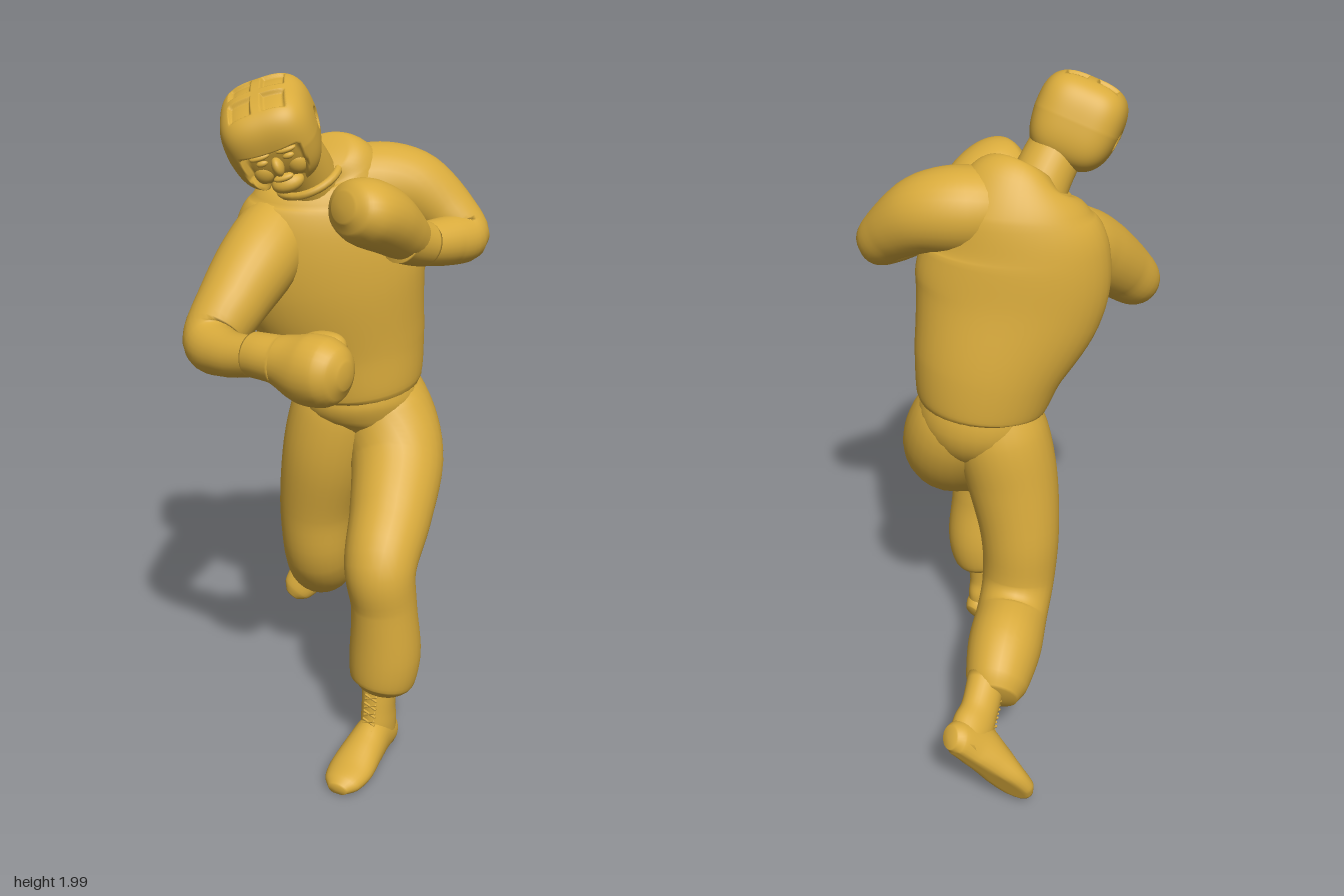
import * as THREE from 'three';

const gold = new THREE.MeshStandardMaterial({ color: 0xd9ab3c });
gold.name = 'gold';
const V = (x, y, z) => new THREE.Vector3(x, y, z);

// Smooth closed skin through sections [x, y, z, halfWidth, halfDepth]; side points along the width
function loft(name, sections, side = V(1, 0, 0), sides = 28, step = 6) {
  const path = new THREE.CatmullRomCurve3(sections.map(s => V(s[0], s[1], s[2])));
  const size = new THREE.CatmullRomCurve3(
    sections.map(s => V(s[3], s[4] ?? s[3], 0)), false, 'catmullrom', 0.5);
  const rings = (sections.length - 1) * step;
  const pos = [], idx = [];
  for (let i = 0; i <= rings; i++) {
    const p = path.getPoint(i / rings), r = size.getPoint(i / rings);
    const t = path.getTangent(i / rings);
    const u = side.clone().addScaledVector(t, -side.dot(t)).normalize();
    const v = t.clone().cross(u);
    for (let j = 0; j < sides; j++) {
      const a = j / sides * Math.PI * 2;
      const q = p.clone().addScaledVector(u, r.x * Math.cos(a)).addScaledVector(v, r.y * Math.sin(a));
      pos.push(q.x, q.y, q.z);
    }
  }
  for (let i = 0; i < rings; i++) for (let j = 0; j < sides; j++) {
    const k = (j + 1) % sides, a = i * sides + j, b = i * sides + k;
    idx.push(a, b, a + sides, b, b + sides, a + sides);
  }
  // End caps, slightly domed
  const n = (rings + 1) * sides;
  [[0, -1], [1, 1]].forEach(([t, dir]) => {
    const r = size.getPoint(t);
    const c = path.getPoint(t).addScaledVector(path.getTangent(t), dir * 0.2 * Math.min(r.x, r.y));
    pos.push(c.x, c.y, c.z);
  });
  for (let j = 0; j < sides; j++) {
    const k = (j + 1) % sides, e = rings * sides;
    idx.push(n, k, j, n + 1, e + j, e + k);
  }
  const g = new THREE.BufferGeometry();
  g.setAttribute('position', new THREE.Float32BufferAttribute(pos, 3));
  g.setIndex(idx);
  g.computeVertexNormals();
  return named(name, g);
}

function named(name, geometry) {
  const m = new THREE.Mesh(geometry, gold);
  m.name = name;
  return m;
}

function ellipsoid(name, c, r) {
  const m = named(name, new THREE.SphereGeometry(1, 20, 14));
  m.position.set(...c);
  m.scale.set(...r);
  return m;
}

// Places a group so that its y is up and its z is forward in the given directions
function orient(group, origin, up, forward) {
  const u = up.clone().normalize();
  const f = forward.clone().addScaledVector(u, -forward.dot(u)).normalize();
  group.quaternion.setFromRotationMatrix(new THREE.Matrix4().makeBasis(u.clone().cross(f), u, f));
  group.position.copy(origin);
  return group;
}

// Padded helmet: rounded box with recessed face, ear holes and crown panels
function makeHead() {
  const head = new THREE.Group();
  head.name = 'head';
  const g = new THREE.SphereGeometry(1, 144, 110);
  const p = g.attributes.position;
  const soft = d => THREE.MathUtils.smoothstep(d, 0, 0.008);
  for (let i = 0; i < p.count; i++) {
    const d = V(p.getX(i), p.getY(i), p.getZ(i));
    const k = Math.pow(Math.abs(d.x) ** 3.2 + Math.abs(d.y) ** 3.2 + Math.abs(d.z) ** 3.2, -1 / 3.2);
    const q = d.multiplyScalar(k).multiply(V(0.125, 0.128, 0.136));
    if (q.y < 0) { q.x *= 1 + q.y * 0.9; q.z *= 1 + q.y * 0.7; }
    const ax = Math.abs(q.x), az = Math.abs(q.z);
    const face = q.z > 0.04 ? soft(Math.min(0.022 - q.y, 0.08 - Math.max(0, -0.05 - q.y) * 0.4 - ax)) : 0;
    const ear = ax > 0.08 ? soft(0.03 - Math.hypot(q.y + 0.005, q.z + 0.015)) : 0;
    const crown = q.y > 0.08 ? soft(Math.min(0.078 - ax, 0.086 - az, ax - 0.012, az - 0.012)) : 0;
    p.setXYZ(i, q.x - Math.sign(q.x) * 0.018 * ear, q.y - 0.012 * crown, q.z - 0.034 * face);
  }
  g.computeVertexNormals();
  head.add(named('helmet', g));
  // Face inside the opening
  head.add(ellipsoid('nose', [0, -0.04, 0.104], [0.016, 0.027, 0.026]));
  head.add(ellipsoid('mouth', [0, -0.083, 0.092], [0.028, 0.01, 0.014]));
  head.add(ellipsoid('chin', [0, -0.115, 0.068], [0.045, 0.026, 0.034]));
  for (const s of [-1, 1]) {
    head.add(ellipsoid('brow', [s * 0.036, 0, 0.1], [0.028, 0.009, 0.013]));
    head.add(ellipsoid('eye', [s * 0.036, -0.021, 0.098], [0.016, 0.009, 0.01]));
    head.add(ellipsoid('cheek', [s * 0.046, -0.06, 0.083], [0.026, 0.03, 0.018]));
  }
  return orient(head, V(0.083, 1.846, 0.207), V(0.05, 0.88, 0.47), V(0.72, 0, 0.69));
}

// Laced boot with a flat sole, heel behind the origin and toe along +z
function makeBoot(name) {
  const boot = new THREE.Group();
  boot.name = name;
  boot.add(loft('bootShaft', [[0, 0.03, 0, 0.046, 0.054], [0, 0.1, 0.01, 0.049, 0.068],
    [0, 0.16, 0.012, 0.048, 0.06], [0, 0.26, 0, 0.054, 0.058]]));
  const foot = loft('bootFoot', [[0, 0.035, -0.056, 0.03, 0.034], [0, 0.047, -0.03, 0.046, 0.052],
    [0, 0.062, 0.04, 0.052, 0.07], [0, 0.052, 0.11, 0.06, 0.058], [0, 0.034, 0.19, 0.066, 0.042],
    [0, 0.026, 0.25, 0.054, 0.032], [0, 0.02, 0.28, 0.028, 0.018]]);
  const p = foot.geometry.attributes.position;
  for (let i = 0; i < p.count; i++) p.setY(i, Math.max(0.004, p.getY(i)));
  foot.geometry.computeVertexNormals();
  boot.add(foot);
  // Crossed laces up the instep
  for (let i = 0; i < 5; i++) for (const s of [-1, 1]) {
    const lace = named('lace', new THREE.CapsuleGeometry(0.004, 0.036, 3, 6));
    lace.position.set(0, 0.105 + i * 0.025, [0.098, 0.078, 0.073, 0.07, 0.065][i]);
    lace.rotation.z = Math.PI / 2 + s * 0.4;
    boot.add(lace);
  }
  return boot;
}

export function createModel() {
  const model = new THREE.Group();
  model.name = 'boxer';
  const across = V(0.5, 0.12, -0.86);

  // Torso, twisted so the left shoulder is back
  model.add(loft('shirt', [[0.05, 1.05, -0.125, 0.165, 0.15], [0.05, 1.075, -0.122, 0.19, 0.168],
    [0.042, 1.2, -0.1, 0.22, 0.172], [0.035, 1.4, -0.035, 0.272, 0.172], [0.03, 1.54, -0.015, 0.262, 0.165],
    [0.03, 1.65, -0.015, 0.21, 0.142], [0.04, 1.725, 0.0, 0.145, 0.105], [0.05, 1.755, 0.025, 0.08, 0.075]],
  across, 40, 8));
  model.add(loft('neck', [[0.03, 1.62, 0.02, 0.09], [0.05, 1.71, 0.07, 0.083], [0.075, 1.81, 0.15, 0.078]]));
  const collar = named('collar', new THREE.TorusGeometry(0.09, 0.012, 10, 32));
  orient(collar, V(0.047, 1.705, 0.062), V(1, 0, 0), V(0.2, 0.86, 0.45));
  model.add(collar, makeHead());

  // Trousers
  model.add(loft('trouserSeat', [[0.05, 1.12, -0.12, 0.165, 0.15], [0.053, 1.03, -0.13, 0.18, 0.163],
    [0.06, 0.96, -0.13, 0.155, 0.14], [0.065, 0.9, -0.12, 0.09, 0.085]], across));
  model.add(loft('leftTrouserLeg', [[0.065, 1.08, -0.155, 0.12], [0.1, 0.98, -0.185, 0.14],
    [0.175, 0.86, -0.17, 0.14], [0.275, 0.735, -0.065, 0.122], [0.35, 0.62, 0.036, 0.105],
    [0.362, 0.5, 0.03, 0.096], [0.36, 0.34, 0.02, 0.105], [0.357, 0.25, 0.027, 0.096],
    [0.355, 0.22, 0.033, 0.068]], V(1, 0, -0.4)));
  model.add(loft('rightTrouserLeg', [[0.02, 1.07, -0.1, 0.12], [0.0, 0.97, -0.085, 0.14],
    [-0.025, 0.83, -0.065, 0.137], [-0.065, 0.64, -0.06, 0.119], [-0.08, 0.475, -0.075, 0.11],
    [-0.125, 0.4, -0.12, 0.108, 0.112], [-0.22, 0.36, -0.2, 0.11, 0.127], [-0.3, 0.31, -0.27, 0.092, 0.108],
    [-0.33, 0.29, -0.295, 0.068, 0.078]], V(0.7, 0, -0.7)));

  // Boots: the front one flat, the rear one pushing off its toe
  model.add(orient(makeBoot('leftBoot'), V(0.345, 0, 0.022), V(0, 1, 0), V(0.4, 0, 0.9)));
  model.add(orient(makeBoot('rightBoot'), V(-0.455, 0.24, -0.475), V(0.62, 0.4, 0.68), V(-0.22, -0.74, 0.63)));

  // Left arm, elbow back and fist guarding the chin
  model.add(loft('leftArm', [[0.045, 1.65, -0.02, 0.1], [0.085, 1.66, -0.14, 0.12], [0.145, 1.645, -0.23, 0.112],
    [0.225, 1.58, -0.295, 0.086], [0.28, 1.527, -0.312, 0.071], [0.288, 1.525, -0.24, 0.069],
    [0.29, 1.535, -0.11, 0.056]], V(0, 1, 0.3)));
  model.add(loft('leftCuff', [[0.292, 1.53, -0.155, 0.062], [0.295, 1.545, -0.11, 0.066],
    [0.298, 1.565, -0.06, 0.07]]));
  model.add(loft('leftGlove', [[0.295, 1.545, -0.11, 0.06], [0.3, 1.58, -0.06, 0.08, 0.075],
    [0.305, 1.63, 0.015, 0.102, 0.09], [0.305, 1.66, 0.08, 0.108, 0.09],
    [0.303, 1.675, 0.125, 0.088, 0.072], [0.302, 1.68, 0.146, 0.048, 0.04]]));
  model.add(loft('leftThumb', [[0.235, 1.58, -0.05, 0.025], [0.22, 1.62, 0, 0.034],
    [0.215, 1.655, 0.06, 0.034], [0.225, 1.67, 0.09, 0.018]]));

  // Right arm, reaching forward with the forearm across the body
  model.add(loft('rightArm', [[0.0, 1.59, 0.02, 0.08], [-0.015, 1.55, 0.11, 0.108], [0.02, 1.485, 0.215, 0.112],
    [0.055, 1.395, 0.33, 0.097], [0.09, 1.315, 0.42, 0.079], [0.18, 1.31, 0.435, 0.063],
    [0.32, 1.335, 0.415, 0.05]], V(0.3, 1, 0)));
  model.add(loft('rightCuff', [[0.283, 1.332, 0.418, 0.06], [0.32, 1.335, 0.41, 0.061],
    [0.365, 1.335, 0.395, 0.064]], V(0, 1, 0)));
  model.add(loft('rightGlove', [[0.32, 1.335, 0.41, 0.055], [0.37, 1.332, 0.39, 0.07, 0.066],
    [0.435, 1.325, 0.365, 0.092, 0.085], [0.495, 1.328, 0.345, 0.09, 0.085],
    [0.53, 1.33, 0.335, 0.07, 0.065], [0.55, 1.33, 0.33, 0.035, 0.03]], V(0, 1, 0)));
  model.add(loft('rightThumb', [[0.37, 1.355, 0.345, 0.025], [0.41, 1.37, 0.312, 0.036],
    [0.465, 1.375, 0.298, 0.035], [0.49, 1.37, 0.298, 0.018]], V(0, 1, 0)));
  return model;
}
